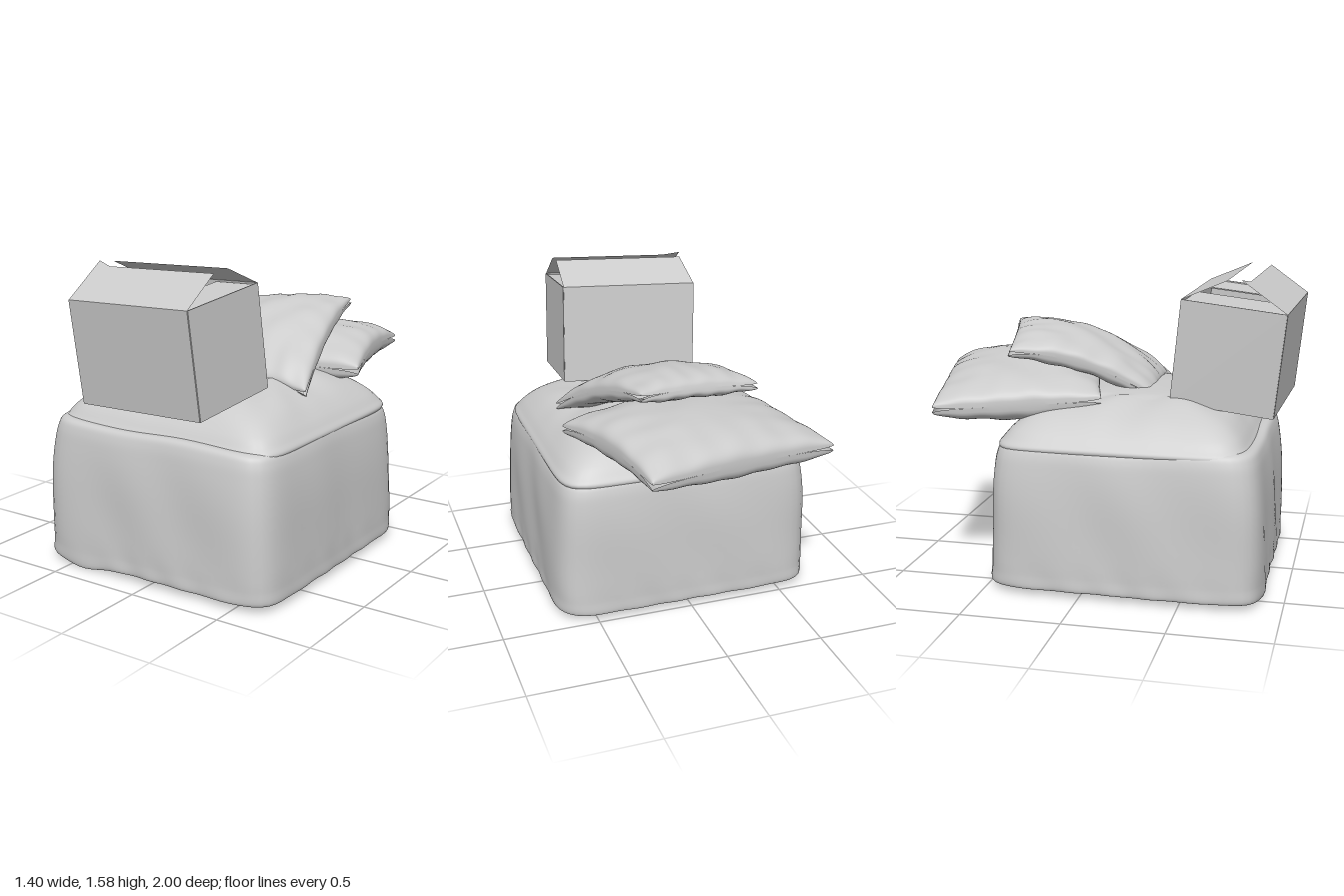
import * as THREE from 'three';
import { mergeVertices } from 'three/addons/utils/BufferGeometryUtils.js';

const mat = new THREE.MeshStandardMaterial({ color: 0xcccccc, side: THREE.DoubleSide });
const CZ = 0.2; // centre of the pouf in z

function add(parent, geo, name, x = 0, y = 0, z = 0) {
  const m = new THREE.Mesh(geo, mat);
  m.name = name;
  m.position.set(x, y, z);
  parent.add(m);
  return m;
}

// Smooth surface(s) sampled on an nu x nv grid; fn(u, v) with u, v in 0..1
function surface(nu, nv, ...fns) {
  const pos = [], idx = [];
  for (const fn of fns) {
    const base = pos.length / 3;
    for (let j = 0; j <= nv; j++)
      for (let i = 0; i <= nu; i++) pos.push(...fn(i / nu, j / nv));
    for (let j = 0; j < nv; j++)
      for (let i = 0; i < nu; i++) {
        const a = base + j * (nu + 1) + i, b = a + 1, d = a + nu + 1, c = d + 1;
        idx.push(a, b, c, a, c, d);
      }
  }
  let g = new THREE.BufferGeometry();
  g.setAttribute('position', new THREE.Float32BufferAttribute(pos, 3));
  g.setIndex(idx);
  g = mergeVertices(g, 1e-5);
  g.computeVertexNormals();
  return g;
}

// Rounded-square loft through [inset, y] points, with a rule for wrinkles
function squareLoft(profile, rows, wrinkle) {
  const curve = new THREE.CatmullRomCurve3(
    profile.map(([inset, y]) => new THREE.Vector3(inset, y, 0)), false, 'centripetal');
  return surface(144, rows, (u, v) => {
    const p = curve.getPoint(v), a = (u % 1) * Math.PI * 2;
    const s = Math.sin(a), c = Math.cos(a);
    const h = Math.max(0.69 - p.x, 0);
    const n = 3 + 6 * Math.min(1, h / 0.6);
    const r = h / Math.pow(Math.abs(s) ** n + Math.abs(c) ** n, 1 / n);
    const [dr, dy, dz] = wrinkle(r * s, p.y, r * c, a, h);
    return [(r + dr) * s, p.y + dy, CZ + (r + dr) * c + dz];
  });
}

// Pillow from four corners: front -x, front +x, back +x, back -x.
// twist lifts the +x edge and lowers the -x one between the corners
function pillow(corners, thick, arch, twist, seed) {
  const [fl, fr, br, bl] = corners.map(c => new THREE.Vector3(...c));
  const at = (u, v) => fl.clone().lerp(fr, u).lerp(bl.clone().lerp(br, u), v);
  const normal = fr.clone().sub(fl).add(br).sub(bl)
    .cross(bl.clone().sub(fl).add(br).sub(fr)).normalize();
  const side = sign => (s, t) => {
    const u = Math.sin((s - 0.5) * Math.PI) * sign, v = Math.sin((t - 0.5) * Math.PI);
    const ku = 1 - u * u, kv = 1 - v * v;
    // edges pull in slightly between the pointed corners
    const p = at((u * (1 - 0.03 * kv) + 1) / 2, (v * (1 - 0.03 * ku) + 1) / 2);
    const puff = Math.pow(Math.max(ku * kv, 0), 0.31);
    const folds = 0.006 * puff * (Math.sin(17 * u + seed) * v ** 2 + Math.sin(15 * v + 3 * u + seed) * u ** 2
      + 0.8 * Math.sin(7 * (u - v) + seed));
    const tip = 0.012 * u ** 8 * v ** 8;
    p.addScaledVector(normal, sign * (thick * puff + tip + folds));
    p.y += arch * (0.75 * kv + 0.25 * ku) + twist * u * kv;
    return [p.x, p.y, p.z];
  };
  return surface(48, 48, side(1), side(-1));
}

function buildPouf() {
  const g = new THREE.Group();
  g.name = 'pouf';
  // Fabric skirt with turned-in hem and a soft rolled top edge
  const skirt = [[0.03, 0.07], [0.02, 0.042], [0, 0.045], [-0.003, 0.12], [0, 0.3], [0.006, 0.5],
    [0.017, 0.63], [0.03, 0.71], [0.045, 0.748], [0.065, 0.76], [0.12, 0.757]];
  add(g, squareLoft(skirt, 64, (x, y, z, a) => {
    const low = Math.max(0, 1 - y / 0.2);
    const dip = z > 0 ? -0.04 * Math.exp(-(((x + 0.42) / 0.16) ** 2)) : 0;
    const fold = 0.006 * Math.sin(9 * a + 5 * y) * Math.sin(4 * y) + 0.004 * Math.sin(23 * a + 3 * Math.sin(7 * y)) * low;
    const sag = (0.008 * Math.sin(5 * a) + 0.01 * Math.cos(a)) * Math.min(1, y);
    return [fold, dip * low + sag, 0];
  }), 'skirt');
  // Domed cushion on top, set back a little from the front edge
  const dome = [[0.05, 0.72], [0.038, 0.75], [0.06, 0.782], [0.095, 0.825], [0.17, 0.89], [0.27, 0.94],
    [0.40, 0.972], [0.57, 0.984], [0.69, 0.987]];
  add(g, squareLoft(dome, 48, (x, y, z, a, h) => {
    const k = Math.sin(Math.min(1, h / 0.66) * Math.PI) ** 2;
    const outer = h > 0.3 ? k : 0.3 * k * h;
    return [0.008 * Math.sin(13 * a) * outer, 0.008 * outer * Math.sin(8 * a + 9 * h), -0.1 * Math.max(0, z) ** 2];
  }), 'topCushion');
  // Hollow base frame and panel seen from below
  const square = (path, r) => path.moveTo(-r, -r).lineTo(r, -r).lineTo(r, r).lineTo(-r, r).closePath();
  const frame = square(new THREE.Shape(), 0.54);
  frame.holes.push(square(new THREE.Path(), 0.5));
  const fg = new THREE.ExtrudeGeometry(frame, { depth: 0.13, bevelEnabled: false }).rotateX(-Math.PI / 2);
  add(g, fg, 'baseFrame', 0, 0.06, CZ);
  add(g, new THREE.BoxGeometry(1.08, 0.02, 1.08), 'basePanel', 0, 0.2, CZ);
  return g;
}

function buildCarton() {
  const g = new THREE.Group();
  g.name = 'carton';
  const W = 0.73, H = 0.52, D = 0.52, T = 0.006;
  add(g, new THREE.BoxGeometry(W, T, D), 'cartonFloor', 0, -H / 2, 0);
  for (const s of [-1, 1]) {
    add(g, new THREE.BoxGeometry(W, H, T), s > 0 ? 'cartonFront' : 'cartonBack', 0, 0, s * D / 2);
    add(g, new THREE.BoxGeometry(T, H, D), 'cartonSide', s * W / 2, 0, 0);
    // short flaps folded flat inside
    const len = s > 0 ? 0.24 : 0.31;
    add(g, new THREE.BoxGeometry(len, T, D - 0.02), 'endFlap', s * (W / 2 - len / 2), H / 2 - 0.01, 0);
    // long flaps leaning inward; the front one has a bent corner
    const w = W / 2, L = 0.24;
    const pts = s > 0
      ? [[-w, 0], [w, 0], [w, L], [-w + 0.09, L], [-w, L + 0.035]]
      : [[-w, 0], [w, 0], [w, L], [-w + 0.02, L]];
    const flap = new THREE.ShapeGeometry(new THREE.Shape(pts.map(p => new THREE.Vector2(...p))));
    add(g, flap, s > 0 ? 'frontFlap' : 'backFlap', 0, H / 2, s * D / 2).rotation.x = -s * 1.06;
  }
  g.position.set(0.018, 1.196, 0.695);
  g.rotation.set(0.11, -0.055, 0.046);
  return g;
}

export function createModel() {
  const root = new THREE.Group();
  root.name = 'poufWithPillowsAndCarton';
  root.add(buildPouf(), buildCarton());
  add(root, pillow([[-0.42, 0.96, 0.06], [0.58, 0.96, -0.17], [0.38, 0.97, -0.99], [-0.64, 0.92, -0.75]],
    0.135, 0.025, 0.025, 1), 'rearPillow');
  add(root, pillow([[-0.14, 0.93, 0.27], [0.51, 0.92, 0.24], [0.3, 1.24, -0.59], [-0.36, 1.17, -0.44]],
    0.09, 0.08, 0, 4), 'frontPillow');
  return root;
}
